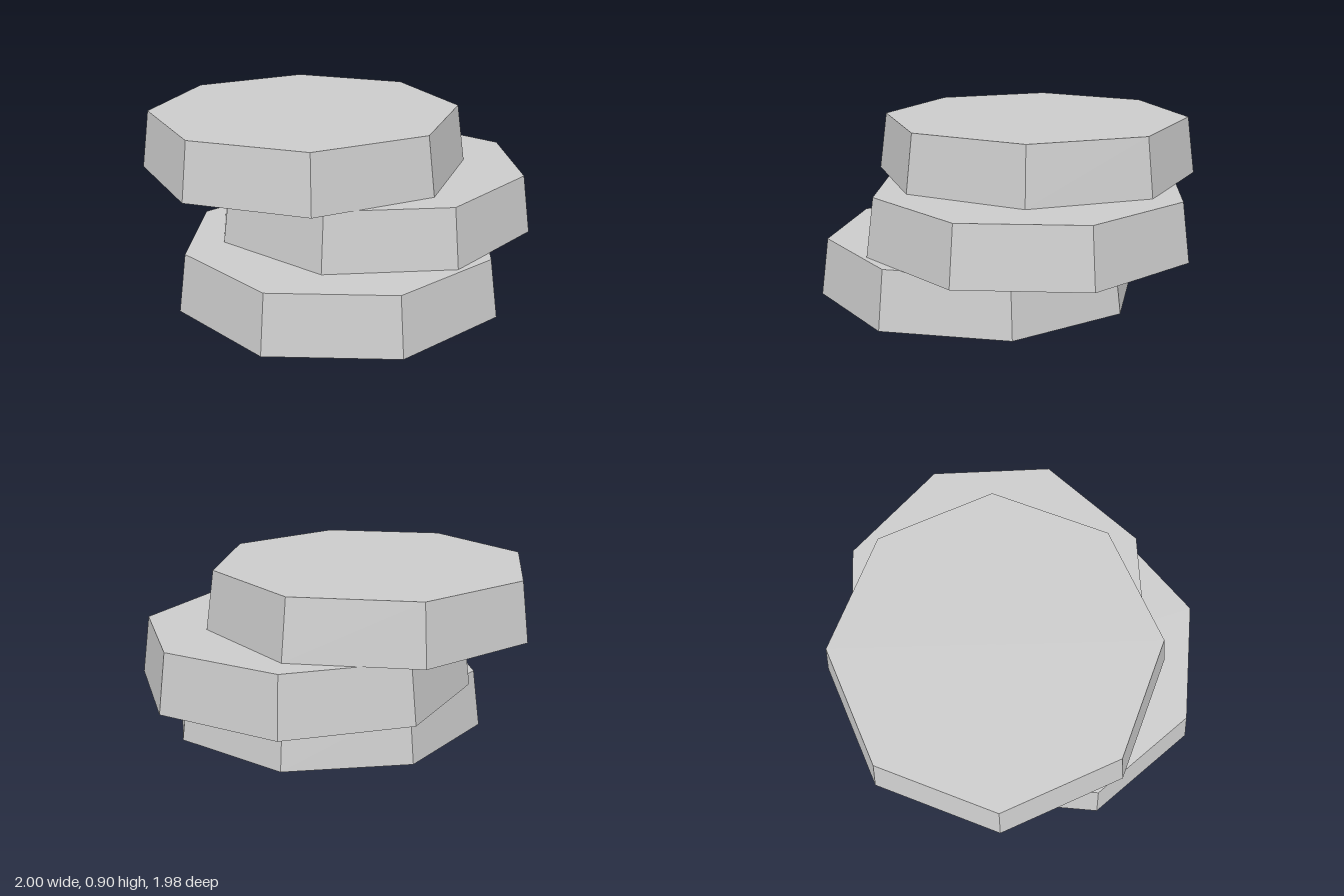
import * as THREE from 'three';

export function createModel() {
  const group = new THREE.Group();
  group.name = 'stackedSlabs';
  const stone = new THREE.MeshStandardMaterial({ color: 0xcccccc, flatShading: true });
  stone.name = 'light grey stone';

  // One tapered octagonal slab, reused for every layer
  const height = 0.3;
  const slab = new THREE.CylinderGeometry(0.81, 0.85, height, 8);

  // Offset and turn of each layer, from the ground up
  const layers = [
    { name: 'bottomSlab', x: -0.097, z: 0.142, turn: 0 },
    { name: 'middleSlab', x: 0.155, z: -0.068, turn: 7.8 },
    { name: 'topSlab', x: -0.182, z: -0.175, turn: -15.9 },
  ];
  layers.forEach(({ name, x, z, turn }, i) => {
    const mesh = new THREE.Mesh(slab, stone);
    mesh.name = name;
    mesh.position.set(x, height * (i + 0.5), z);
    mesh.rotation.y = THREE.MathUtils.degToRad(turn);
    group.add(mesh);
  });
  return group;
}
